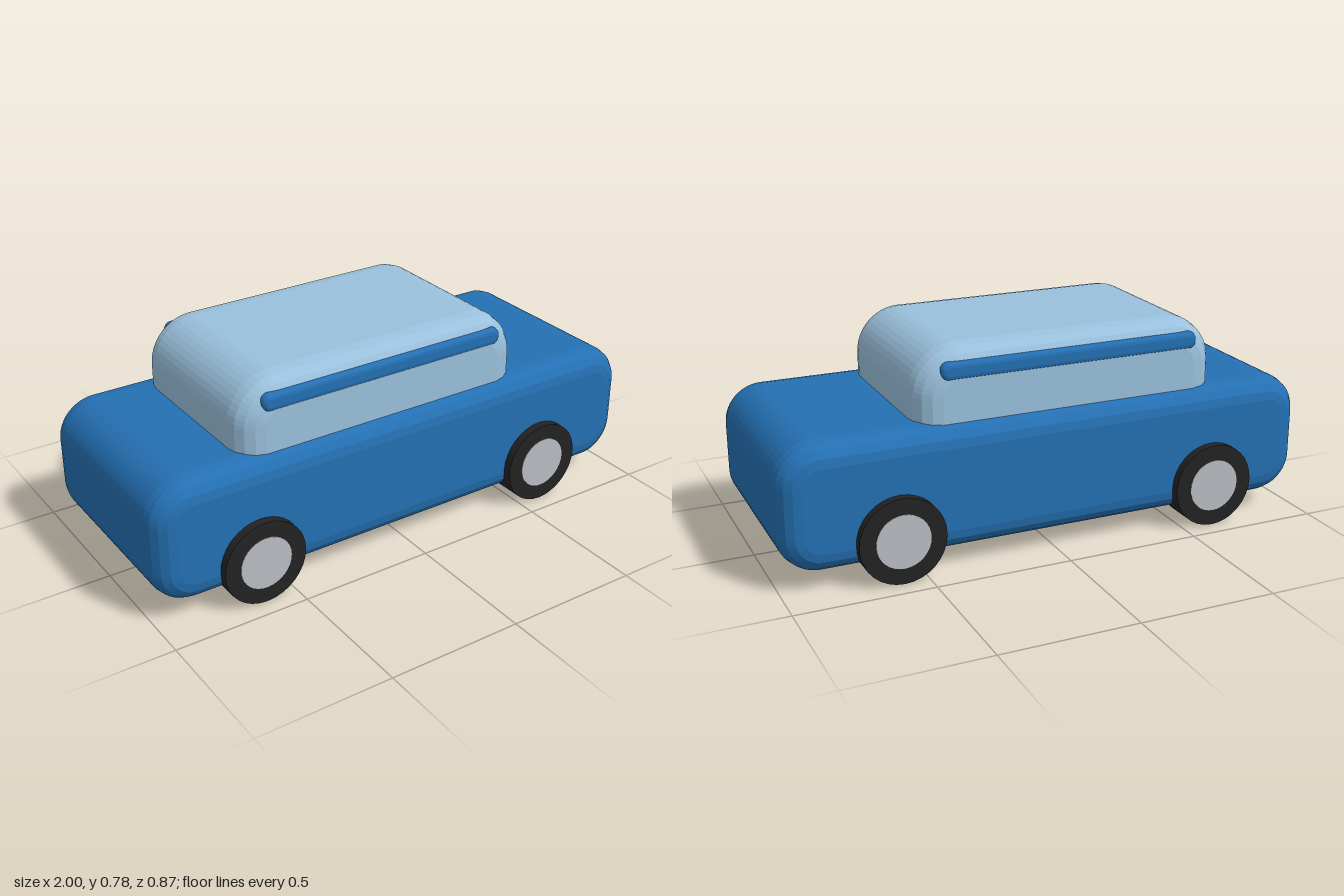
import * as THREE from 'three';

const material = (name, color) => {
  const m = new THREE.MeshStandardMaterial({ color });
  m.name = name;
  return m;
};

// Rounded block: a rounded side profile extruded along z with a curved bevel
function block(x0, x1, y0, y1, z0, z1, radius, bevel, segments) {
  const r = radius - bevel;
  const l = x0 + bevel, R = x1 - bevel, b = y0 + bevel, t = y1 - bevel;
  const s = new THREE.Shape();
  s.moveTo(l + r, b);
  s.lineTo(R - r, b);
  s.absarc(R - r, b + r, r, -Math.PI / 2, 0);
  s.lineTo(R, t - r);
  s.absarc(R - r, t - r, r, 0, Math.PI / 2);
  s.lineTo(l + r, t);
  s.absarc(l + r, t - r, r, Math.PI / 2, Math.PI);
  s.lineTo(l, b + r);
  s.absarc(l + r, b + r, r, Math.PI, Math.PI * 1.5);
  const g = new THREE.ExtrudeGeometry(s, {
    depth: z1 - z0 - 2 * bevel, curveSegments: 6,
    bevelEnabled: true, bevelSize: bevel, bevelThickness: bevel, bevelSegments: segments,
  });
  g.translate(0, 0, z0 + bevel);
  return g;
}

export function createModel() {
  const paint = material('bluePaint', 0x2470b3);
  const glass = material('paleBlueCabin', 0x9ac0dc);
  const rubber = material('blackRubber', 0x232323);
  const metal = material('greyMetal', 0xb9bdc1);

  const car = new THREE.Group();
  car.name = 'car';
  const add = (parent, name, geometry, mat) => {
    const mesh = new THREE.Mesh(geometry, mat);
    mesh.name = name;
    parent.add(mesh);
    return mesh;
  };

  // Body and cabin
  add(car, 'body', block(-1, 1, 0.065, 0.525, -0.402, 0.402, 0.145, 0.08, 4), paint);
  add(car, 'cabin', block(-0.652, 0.506, 0.3, 0.776, -0.356, 0.356, 0.17, 0.095, 4), glass);

  // Trim bars along both cabin sides
  for (const side of [1, -1]) {
    const z = side * 0.338;
    add(car, side > 0 ? 'frontTrim' : 'backTrim',
      block(-0.565, 0.416, 0.665, 0.73, z - 0.022, z + 0.022, 0.03, 0.018, 3), paint);
  }

  // Wheels with thin hub discs
  const tyre = new THREE.CylinderGeometry(0.156, 0.156, 0.112, 32).rotateX(Math.PI / 2);
  const hub = new THREE.CylinderGeometry(0.098, 0.098, 0.006, 32).rotateX(Math.PI / 2);
  for (const x of [-0.617, 0.591]) {
    for (const side of [1, -1]) {
      const wheel = new THREE.Group();
      wheel.name = 'wheel';
      wheel.position.set(x, 0.156, side * 0.378);
      add(wheel, 'tyre', tyre, rubber);
      add(wheel, 'hub', hub, metal).position.z = side * 0.055;
      car.add(wheel);
    }
  }
  return car;
}
